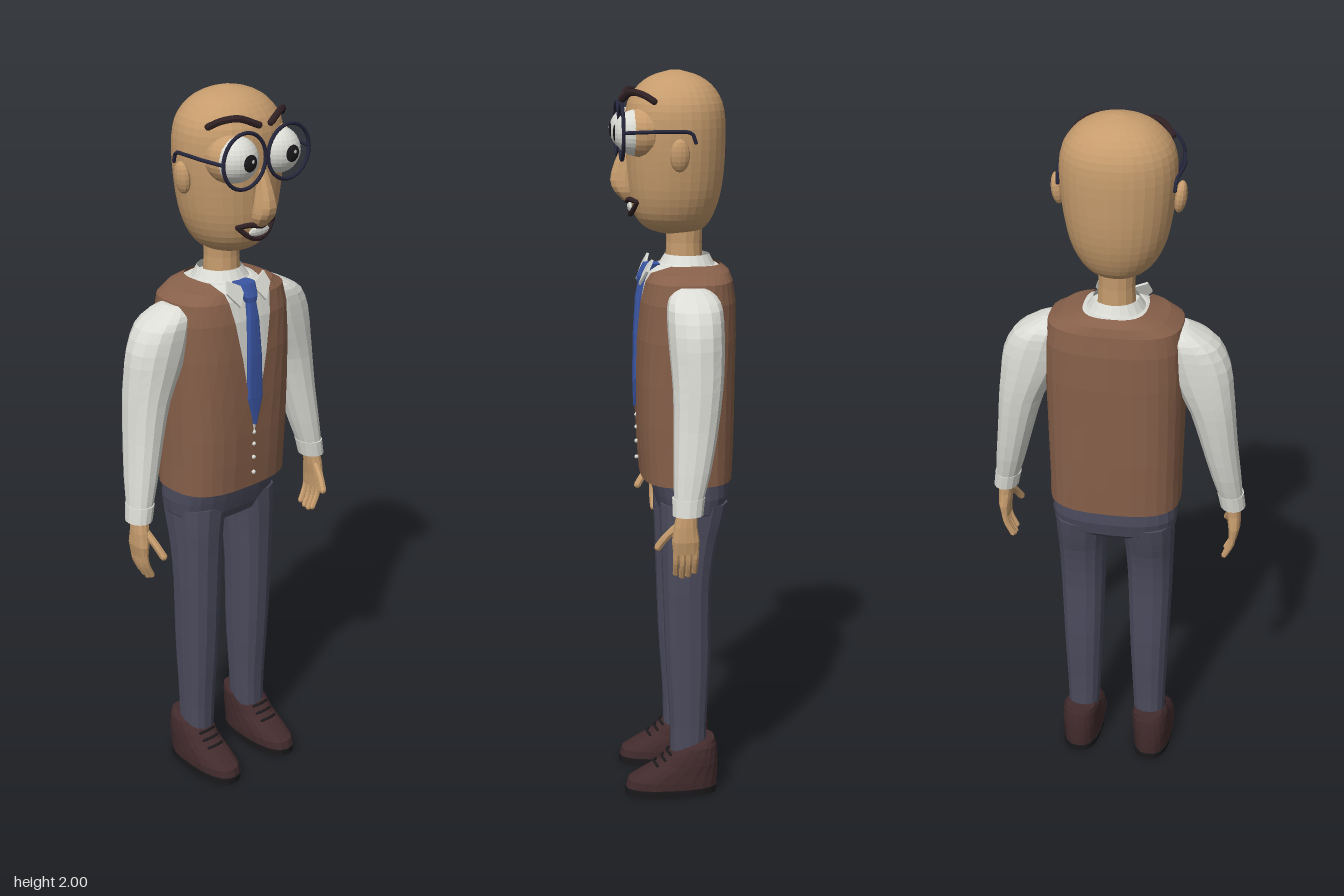
import * as THREE from 'three';

const mat = (name, color, side) => {
  const m = new THREE.MeshStandardMaterial({ color });
  m.name = name;
  if (side) m.side = side;
  return m;
};

export function createModel() {
  const root = new THREE.Group();
  root.name = 'gentleman';
  const skin = mat('skin', 0xc69c6d), white = mat('white cloth', 0xdcdcd6, THREE.DoubleSide);
  const brown = mat('vest brown', 0x87604a, THREE.DoubleSide), navy = mat('trouser grey blue', 0x4b4b5d);
  const blue = mat('tie blue', 0x3a55a2), leather = mat('shoe leather', 0x422b2d);
  const black = mat('black', 0x1c1a1c), frame = mat('glasses frame', 0x26263c), hair = mat('dark hair', 0x2f2023);

  // Faceted mesh
  const add = (name, geo, m, x = 0, y = 0, z = 0) => {
    const g = geo.index ? geo.toNonIndexed() : geo;
    g.computeVertexNormals();
    const mesh = new THREE.Mesh(g, m);
    mesh.name = name;
    mesh.position.set(x, y, z);
    root.add(mesh);
    return mesh;
  };

  // Point on a rounded-rectangle ring [y, cx, rx, zFront, zBack]
  const ringPoint = ([y, cx, rx, zf, zb], a, n) => {
    const c = Math.cos(a), s = Math.sin(a), p = 2 / n;
    return [cx + rx * Math.sign(c) * Math.abs(c) ** p, y,
      (zf + zb) / 2 + (zf - zb) / 2 * Math.sign(s) * Math.abs(s) ** p];
  };

  // Grid of points, rows listed from bottom to top
  const gridGeo = (rows, caps) => {
    const pos = [], idx = [], w = rows[0].length;
    rows.forEach(r => r.forEach(p => pos.push(...p)));
    for (let j = 0; j < rows.length - 1; j++) for (let i = 0; i < w - 1; i++) {
      const a = j * w + i, b = a + 1, c = a + w, d = c + 1;
      idx.push(a, c, b, b, c, d);
    }
    if (caps) [0, rows.length - 1].forEach((j, top) => {
      const r = rows[j], k = pos.length / 3;
      pos.push(...[0, 1, 2].map(e => r.slice(1).reduce((t, p) => t + p[e], 0) / (w - 1)));
      for (let i = 0; i < w - 1; i++) {
        const a = j * w + i;
        top ? idx.push(k, a + 1, a) : idx.push(k, a, a + 1);
      }
    });
    const g = new THREE.BufferGeometry();
    g.setAttribute('position', new THREE.Float32BufferAttribute(pos, 3));
    g.setIndex(idx);
    return g;
  };
  const loft = (rings, seg = 14, n = 2, caps = true) => gridGeo(rings.map(r =>
    Array.from({ length: seg + 1 }, (_, i) => ringPoint(r, i / seg * Math.PI * 2, n))), caps);

  // Smoothly resampled rings
  const smooth = (rings, count) => {
    const curve = f => new THREE.CatmullRomCurve3(rings.map(f), false, 'catmullrom');
    const a = curve(r => new THREE.Vector3(r[0], r[1], r[2])), b = curve(r => new THREE.Vector3(r[3], r[4], 0));
    return Array.from({ length: count + 1 }, (_, i) => {
      const p = a.getPoint(i / count), q = b.getPoint(i / count);
      return [p.x, p.y, p.z, q.x, q.y];
    });
  };
  const mirror = (rings, s) => rings.map(([y, cx, ...r]) => [y, s * cx, ...r]);

  // Round-ended tube through points
  const tube = (name, pts, r, m, s = 1, seg = 12) => {
    const v = pts.map(p => new THREE.Vector3(p[0] * s, p[1], p[2]));
    add(name, new THREE.TubeGeometry(new THREE.CatmullRomCurve3(v), seg, r, 7), m);
    [v[0], v[v.length - 1]].forEach(p => add(name + 'End', new THREE.SphereGeometry(r, 7, 5), m, p.x, p.y, p.z));
  };

  // Head and neck
  add('head', loft(smooth([
    [1.574, 0, 0.03, 0.03, -0.05], [1.588, 0, 0.072, 0.07, -0.085], [1.62, 0, 0.103, 0.1, -0.108],
    [1.67, 0, 0.125, 0.115, -0.126], [1.73, 0, 0.138, 0.122, -0.136], [1.8, 0, 0.147, 0.126, -0.14],
    [1.87, 0, 0.149, 0.126, -0.14], [1.92, 0, 0.139, 0.117, -0.131], [1.96, 0, 0.11, 0.09, -0.106],
    [1.986, 0, 0.068, 0.053, -0.068], [2, 0, 0.012, 0.005, -0.02]], 26), 32, 2.1), skin);
  add('neck', loft([[1.47, 0, 0.052, 0.02, -0.083], [1.55, 0, 0.048, 0.016, -0.08], [1.63, 0, 0.052, 0.02, -0.083]]), skin);
  add('nose', loft(smooth([[1.66, 0, 0.018, 0.13, 0.09], [1.685, 0, 0.029, 0.155, 0.09], [1.715, 0, 0.028, 0.166, 0.09],
    [1.76, 0, 0.021, 0.155, 0.09], [1.81, 0, 0.014, 0.132, 0.09]], 8), 10, 2.6), skin);

  // Mouth
  const lip = (y1, y2, z1, z2) => [[-0.062, 1.663, 0.098], [-0.03, y1, z1], [0, y2, z2], [0.03, y1, z1], [0.062, 1.663, 0.098]];
  tube('upperLip', lip(1.667, 1.66, 0.117, 0.122), 0.007, hair);
  tube('lowerLip', lip(1.634, 1.624, 0.11, 0.112), 0.007, hair);
  add('teeth', new THREE.SphereGeometry(1, 12, 6).scale(0.036, 0.014, 0.007), white, 0, 1.645, 0.113);

  for (const s of [1, -1]) {
    // Eyes, lids and ears
    add('eyelid', new THREE.SphereGeometry(0.066, 20, 14), skin, s * 0.072, 1.843, 0.08);
    add('eyeball', new THREE.SphereGeometry(0.06, 24, 16), white, s * 0.072, 1.843, 0.101);
    add('pupil', new THREE.SphereGeometry(0.061, 16, 5, 0, Math.PI * 2, 0, 0.37).rotateX(Math.PI / 2), black, s * 0.072, 1.843, 0.101);
    add('eyeGlint', new THREE.CircleGeometry(0.005, 8), white, s * 0.072 + 0.004, 1.848, 0.1635);
    const ear = add('ear', new THREE.SphereGeometry(1, 12, 10).scale(0.017, 0.043, 0.026), skin, s * 0.157, 1.79, -0.003);
    ear.rotation.z = -s * 0.12;
    tube('eyebrow', [[0.02, 1.926, 0.132], [0.07, 1.946, 0.112], [0.105, 1.94, 0.085], [0.125, 1.925, 0.06]], 0.009, hair, s);

    // Glasses
    add('glassesRim', new THREE.TorusGeometry(0.071, 0.005, 8, 32), frame, s * 0.075, 1.845, 0.14);
    tube('glassesArm', [[0.146, 1.847, 0.14], [0.157, 1.85, 0.07], [0.155, 1.85, 0.01], [0.15, 1.845, -0.035], [0.148, 1.822, -0.045]], 0.005, frame, s, 20);
  }

  // Torso: shirt underneath, vest with an open V over it
  const vestRings = [[0.91, 0, 0.18, 0.09, -0.16], [0.99, 0, 0.18, 0.096, -0.163], [1.07, 0, 0.182, 0.1, -0.165],
    [1.18, 0, 0.184, 0.102, -0.166], [1.3, 0, 0.187, 0.101, -0.168], [1.4, 0, 0.186, 0.094, -0.166],
    [1.455, 0, 0.177, 0.082, -0.158], [1.477, 0, 0.14, 0.072, -0.15], [1.493, 0, 0.085, 0.05, -0.128]];
  const N = 2.8, cols = 14;
  add('shirtBody', loft(vestRings.slice(1).map(([y, c, rx, f, b]) => [y - 0.003, c, rx - 0.007, f - 0.007, b + 0.007]), 48, N), white);
  for (const s of [1, -1]) {
    const rows = vestRings.map(r => {
      const vx = Math.max(0, (r[0] - 1.07) / 0.42) * 0.078;
      const start = Math.acos((vx / r[2]) ** (N / 2));
      return Array.from({ length: cols + 1 }, (_, i) => {
        const p = ringPoint(r, start + (-Math.PI / 2 - start) * i / cols, N);
        return [s * p[0], p[1], p[2]];
      });
    });
    if (s > 0) rows.forEach(r => r.reverse());
    add('vestHalf', gridGeo(rows), brown);

    // Shirt collar wing
    const wing = new THREE.Shape([[0.014, 1.482], [0.065, 1.512], [0.076, 1.478], [0.045, 1.435]].map(p => new THREE.Vector2(s * p[0], p[1] - 1.48)));
    const w = add('collarWing', new THREE.ExtrudeGeometry(wing, { depth: 0.007, bevelEnabled: false }), white, 0, 1.48, 0.07);
    w.rotation.x = -0.45;
  }
  add('collar', loft([[1.475, 0, 0.088, 0.055, -0.125], [1.495, 0, 0.074, 0.035, -0.112], [1.518, 0, 0.06, 0.02, -0.1]], 20, 2, false), white);
  [1.075, 1.04, 1.0, 0.955].forEach(y => add('vestButton', new THREE.SphereGeometry(0.006, 8, 6), white, 0, y, 0.099));

  // Tie
  add('tieBlade', loft([[1.1, 0, 0.003, 0.108, 0.094], [1.18, 0, 0.026, 0.109, 0.094], [1.3, 0, 0.023, 0.107, 0.09],
    [1.4, 0, 0.018, 0.101, 0.08], [1.455, 0, 0.013, 0.091, 0.07]], 12, 4), blue);
  add('tieKnot', loft([[1.445, 0, 0.016, 0.096, 0.06], [1.46, 0, 0.022, 0.096, 0.055], [1.493, 0, 0.029, 0.08, 0.03]], 12, 3), blue);

  // Hips
  add('hips', loft([[0.805, 0, 0.158, 0.035, -0.115], [0.83, 0, 0.169, 0.045, -0.142], [0.87, 0, 0.174, 0.056, -0.152],
    [0.93, 0, 0.173, 0.07, -0.15]], 24, 2.6), navy);

  for (const s of [1, -1]) {
    // Sleeve and cuff
    add('sleeve', loft(mirror(smooth([[0.9, 0.319, 0.031, 0.03, -0.042], [0.99, 0.301, 0.041, 0.03, -0.068],
      [1.1, 0.28, 0.05, 0.027, -0.09], [1.2, 0.261, 0.061, 0.027, -0.104], [1.27, 0.24, 0.075, 0.031, -0.11],
      [1.34, 0.219, 0.086, 0.035, -0.112], [1.4, 0.2, 0.075, 0.035, -0.11], [1.43, 0.18, 0.05, 0.025, -0.098],
      [1.45, 0.16, 0.03, 0, -0.07]], 16), s), 14, 2.2), white);
    add('cuff', loft(mirror([[0.88, 0.322, 0.035, 0.035, -0.046], [0.925, 0.314, 0.037, 0.035, -0.052]], s)), white);

    // Hand
    add('palm', loft(mirror([[0.775, 0.326, 0.012, 0.033, -0.034], [0.81, 0.328, 0.017, 0.037, -0.036],
      [0.85, 0.325, 0.02, 0.032, -0.03], [0.9, 0.32, 0.021, 0.02, -0.03]], s), 12, 2.4), skin);
    [-0.026, -0.009, 0.008, 0.025].forEach((z, i) => {
      const drop = [0.012, 0.003, 0, 0.008][i];
      tube('finger', [[0.327, 0.785, z], [0.322, 0.745 + drop, z], [0.305, 0.708 + drop, z * 0.95]], 0.0085, skin, s, 6);
    });
    tube('thumb', [[0.318, 0.85, 0.02], [0.308, 0.815, 0.052], [0.3, 0.788, 0.07]], 0.0105, skin, s, 6);

    // Trouser leg
    add('trouserLeg', loft(mirror(smooth([[0.1, 0.1, 0.044, 0.016, -0.084], [0.22, 0.098, 0.048, 0.018, -0.086],
      [0.4, 0.097, 0.056, 0.03, -0.096], [0.6, 0.097, 0.063, 0.037, -0.096], [0.72, 0.096, 0.067, 0.041, -0.11],
      [0.79, 0.094, 0.072, 0.044, -0.128], [0.85, 0.088, 0.08, 0.044, -0.142]], 14), s), 14, 2.4), navy);

    // Shoe, sole and laces
    add('sole', loft(mirror([[0, 0.107, 0.056, 0.145, -0.115], [0.02, 0.107, 0.058, 0.147, -0.117]], s), 20, 2.6), black);
    add('shoe', loft(mirror([[0.02, 0.107, 0.056, 0.144, -0.115], [0.042, 0.107, 0.057, 0.138, -0.117],
      [0.062, 0.107, 0.056, 0.105, -0.118], [0.09, 0.107, 0.055, 0.05, -0.118], [0.115, 0.106, 0.054, 0.026, -0.117],
      [0.14, 0.104, 0.052, -0.005, -0.114], [0.158, 0.102, 0.042, -0.06, -0.108]], s), 20, 2.4), leather);
    [[0.085, 0.062], [0.1, 0.04], [0.118, 0.025]].forEach(([y, z]) =>
      tube('lace', [[0.08, y, z - 0.006], [0.106, y + 0.005, z + 0.002], [0.132, y, z - 0.006]], 0.004, black, s, 6));
  }
  return root;
}
